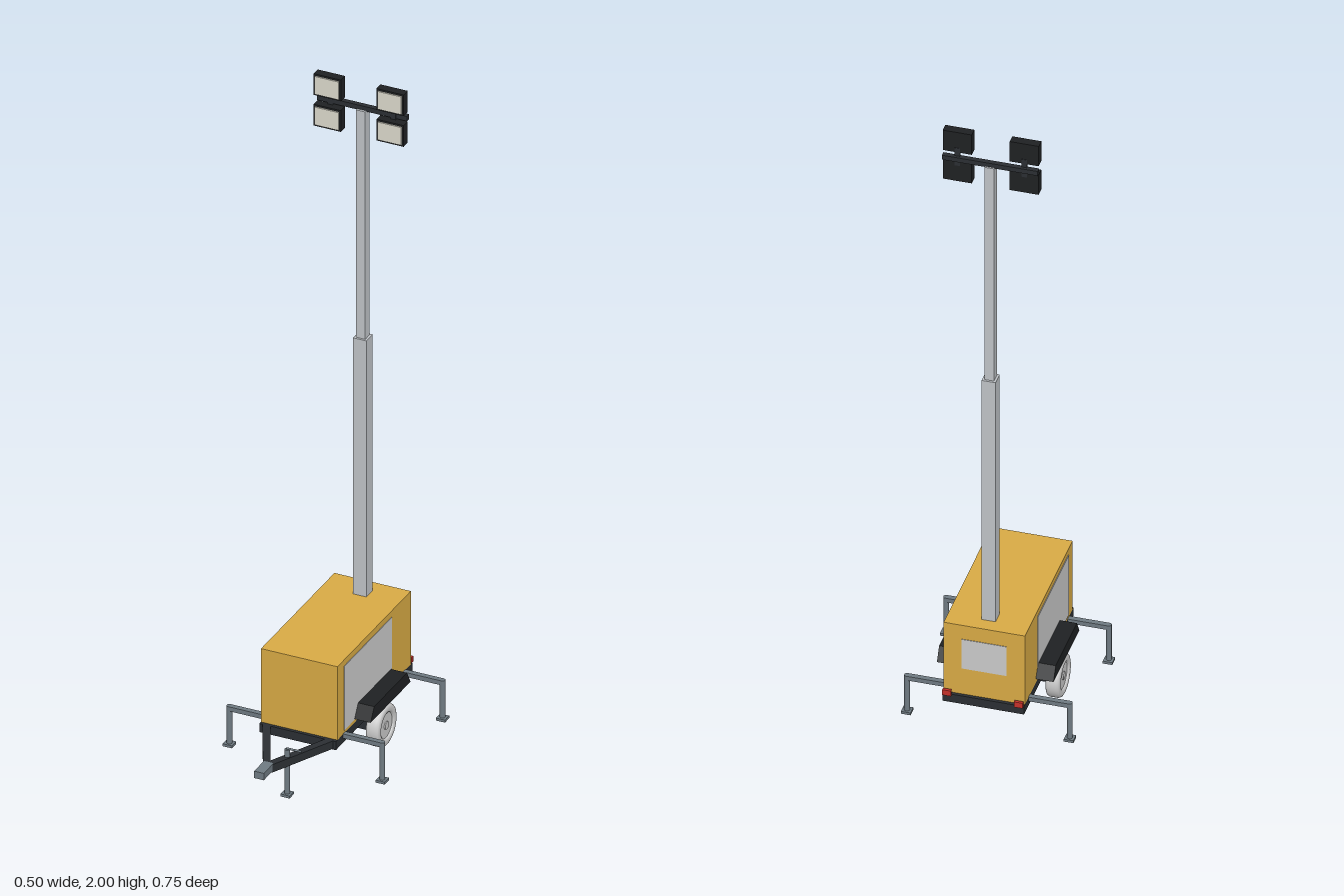
import * as THREE from 'three';

const mat = (color) => new THREE.MeshStandardMaterial({ color });

export function createModel() {
  const root = new THREE.Group();
  root.name = 'towableLightTower';
  const yellow = mat(0xd9ab45), dark = mat(0x2b2f33), black = mat(0x1f2123), steel = mat(0x6f7a82);
  const mastGrey = mat(0xc0c4c8), grey = mat(0xcccccc), lensMat = mat(0xdcdacd), red = mat(0xc8322b);

  const add = (name, geo, material, x = 0, y = 0, z = 0, parent = root) => {
    const m = new THREE.Mesh(geo, material);
    m.name = name;
    m.position.set(x, y, z);
    parent.add(m);
    return m;
  };
  const box = (name, material, w, h, d, x, y, z, parent) =>
    add(name, new THREE.BoxGeometry(w, h, d), material, x, y, z, parent);
  const rod = (name, material, r, h, x, y, z, parent) =>
    add(name, new THREE.CylinderGeometry(r, r, h, 16), material, x, y, z, parent);

  // Chassis and generator housing
  box('chassisDeck', dark, 0.236, 0.027, 0.492, 0, 0.1115, -0.121);
  box('housing', yellow, 0.236, 0.235, 0.472, 0, 0.2425, -0.121);
  box('rearPanel', grey, 0.13, 0.1, 0.002, 0, 0.263, -0.3575);
  box('axleBeam', dark, 0.25, 0.038, 0.038, 0, 0.066, -0.114);

  // Fender outline in (z, y), extruded across the wheel
  const fender = new THREE.Shape();
  [[0.008, 0.138], [-0.015, 0.178], [-0.226, 0.178], [-0.249, 0.138]].forEach(([z, y], i) =>
    i ? fender.lineTo(-z, y) : fender.moveTo(-z, y));
  const fenderGeo = new THREE.ExtrudeGeometry(fender, { depth: 0.051, bevelEnabled: false });
  fenderGeo.translate(0, 0, -0.0255).rotateY(Math.PI / 2);

  // Tyre, rim and hub profiles: radius, then distance along the axle
  const lathe = (pts) => {
    const g = new THREE.LatheGeometry(pts.map(([r, a]) => new THREE.Vector2(r, a)), 40);
    return g.rotateZ(-Math.PI / 2);
  };
  const tyreGeo = lathe([[0.04, -0.018], [0.045, -0.021], [0.055, -0.021], [0.061, -0.018], [0.064, -0.012],
    [0.064, 0.012], [0.061, 0.018], [0.055, 0.021], [0.045, 0.021], [0.04, 0.018], [0.038, 0.012]]);
  const rimGeo = new THREE.CylinderGeometry(0.041, 0.041, 0.03, 40).rotateZ(Math.PI / 2);
  const hubGeo = new THREE.CylinderGeometry(0.012, 0.014, 0.037, 20).rotateZ(-Math.PI / 2);

  // Upright jack leg with its square foot
  const leg = (parent, x, top, z) => {
    rod('jackLeg', steel, 0.008, top - 0.006, x, (top + 0.006) / 2, z, parent);
    box('jackFoot', steel, 0.028, 0.008, 0.028, x, 0.004, z, parent);
  };

  for (const s of [-1, 1]) {
    box('sidePanel', grey, 0.002, 0.205, 0.307, s * 0.1185, 0.238, -0.08);
    add('fender', fenderGeo, black, s * 0.1435, 0, 0);
    box('springHanger', dark, 0.012, 0.016, 0.05, s * 0.1, 0.092, -0.114);
    box('tailLight', red, 0.025, 0.018, 0.009, s * 0.104, 0.133, -0.3715);

    const wheel = new THREE.Group();
    wheel.name = 'wheel';
    wheel.position.set(s * 0.143, 0.065, -0.114);
    wheel.rotation.y = s > 0 ? 0 : Math.PI;
    add('tyre', tyreGeo, grey, 0, 0, 0, wheel);
    add('rim', rimGeo, grey, 0, 0, 0, wheel);
    add('hub', hubGeo, grey, 0, 0, 0, wheel);
    root.add(wheel);

    // Outriggers
    for (const z of [-0.315, 0.072]) {
      const g = new THREE.Group();
      g.name = 'outrigger';
      box('outriggerArm', steel, 0.13, 0.014, 0.016, s * 0.172, 0.12, z, g);
      leg(g, s * 0.236, 0.127, z);
      root.add(g);
    }

    // Drawbar: one leg of the V
    const from = new THREE.Vector2(s * 0.101, 0.115), to = new THREE.Vector2(s * 0.004, 0.315);
    const d = to.clone().sub(from);
    const bar = box('drawbar', dark, 0.022, 0.025, d.length(), (from.x + to.x) / 2, 0.1125, (from.y + to.y) / 2);
    bar.rotation.y = Math.atan2(d.x, d.y);
  }
  box('coupler', steel, 0.03, 0.022, 0.064, 0, 0.115, 0.342);

  // Nose jack with crank
  const nose = new THREE.Group();
  nose.name = 'noseJack';
  leg(nose, 0.031, 0.148, 0.257);
  rod('crank', steel, 0.003, 0.045, 0.0525, 0.15, 0.257, nose).rotation.z = Math.PI / 2;
  root.add(nose);

  // Telescopic mast
  box('lowerMast', mastGrey, 0.041, 0.83, 0.041, 0, 0.765, -0.294);
  box('upperMast', mastGrey, 0.028, 0.73, 0.028, 0, 1.543, -0.294);

  // Lamp bar and four floodlights
  box('lampBar', dark, 0.278, 0.015, 0.015, 0, 1.913, -0.295);
  for (const x of [-0.097, 0.097]) {
    box('lampBracket', dark, 0.016, 0.06, 0.008, x, 1.917, -0.29);
    for (const y of [1.868, 1.966]) {
      const lamp = new THREE.Group();
      lamp.name = 'floodlight';
      lamp.position.set(x, y, -0.28);
      box('lampHousing', black, 0.084, 0.068, 0.026, 0, 0, 0, lamp);
      box('lampLens', lensMat, 0.073, 0.057, 0.006, 0, 0, 0.0145, lamp);
      root.add(lamp);
    }
  }
  return root;
}
